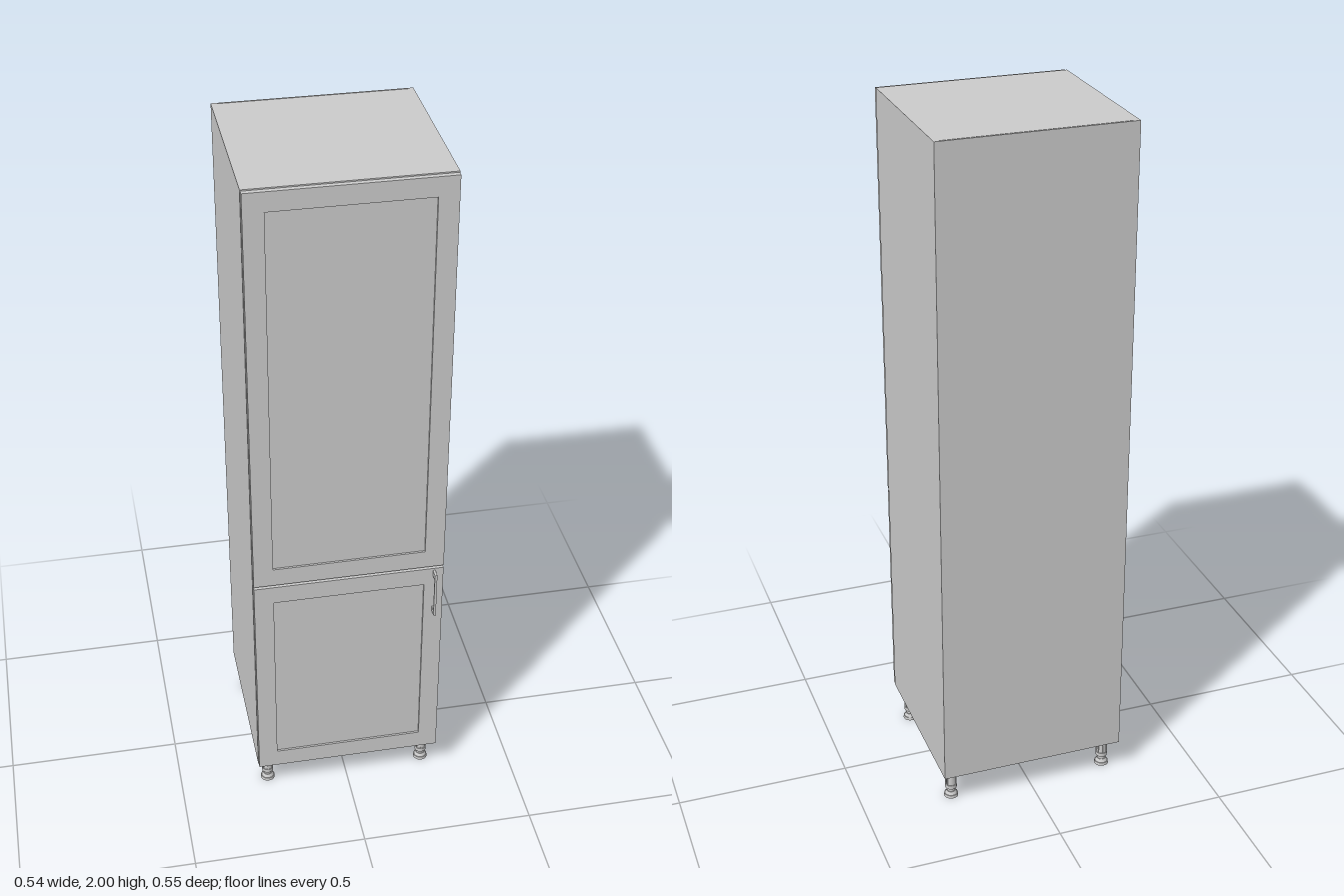
import * as THREE from 'three';

const material = new THREE.MeshStandardMaterial({ color: 0xcccccc });

const W = 0.272;      // half width of the carcass
const T = 0.0145;     // board thickness
const BOTTOM = 0.1, TOP = 2;
const BACK = -0.277, FRONT = 0.235, DOOR_FACE = 0.25;

function add(parent, name, geometry) {
  const mesh = new THREE.Mesh(geometry, material);
  mesh.name = name;
  parent.add(mesh);
  return mesh;
}

// Box given by its limits on each axis
function board(parent, name, x0, x1, y0, y1, z0, z1) {
  const mesh = add(parent, name, new THREE.BoxGeometry(x1 - x0, y1 - y0, z1 - z0));
  mesh.position.set((x0 + x1) / 2, (y0 + y1) / 2, (z0 + z1) / 2);
  return mesh;
}

// Framed door with a recessed centre panel
function makeDoor(name, y0, y1) {
  const door = new THREE.Group();
  door.name = name;
  const w = 0.2705, rail = 0.055;
  const rectangle = (target, inset) => {
    target.moveTo(-w + inset, y0 + inset);
    target.lineTo(w - inset, y0 + inset);
    target.lineTo(w - inset, y1 - inset);
    target.lineTo(-w + inset, y1 - inset);
    target.closePath();
    return target;
  };
  const frame = rectangle(new THREE.Shape(), 0);
  frame.holes.push(rectangle(new THREE.Path(), rail));
  const geometry = new THREE.ExtrudeGeometry(frame, { depth: DOOR_FACE - FRONT - 0.001, bevelEnabled: false });
  add(door, 'doorFrame', geometry).position.z = FRONT + 0.001;
  board(door, 'doorPanel', -w + rail, w - rail, y0 + rail, y1 - rail, FRONT + 0.002, DOOR_FACE - 0.006);
  return door;
}

// Bow handle: two posts and a slim bar
function makeHandle() {
  const handle = new THREE.Group();
  handle.name = 'handle';
  const x0 = 0.240, x1 = 0.247, y0 = 0.63, y1 = 0.775, z1 = 0.275;
  board(handle, 'handleBar', x0, x1, y0, y1, z1 - 0.005, z1);
  board(handle, 'upperPost', x0, x1, y1 - 0.018, y1, DOOR_FACE, z1 - 0.005);
  board(handle, 'lowerPost', x0, x1, y0, y0 + 0.015, DOOR_FACE, z1 - 0.005);
  return handle;
}

// Adjustable foot: socket under the carcass, threaded neck, collar and base
function makeLeg(x, z) {
  const leg = new THREE.Group();
  leg.name = 'leg';
  const rings = [
    ['base', 0.020, 0.021, 0, 0.009],
    ['baseCone', 0.013, 0.018, 0.009, 0.018],
    ['stem', 0.011, 0.011, 0.018, 0.030],
    ['collar', 0.017, 0.017, 0.030, 0.042],
    ['body', 0.014, 0.015, 0.042, 0.074],
    ['socket', 0.019, 0.017, 0.074, 0.094],
    ['mountingPlate', 0.022, 0.022, 0.094, BOTTOM],
  ];
  for (const [name, rTop, rBottom, y0, y1] of rings) {
    add(leg, name, new THREE.CylinderGeometry(rTop, rBottom, y1 - y0, 24)).position.y = (y0 + y1) / 2;
  }
  // Grip ribs around the body
  for (let i = 0; i < 6; i++) {
    const a = (i * Math.PI) / 3;
    const rib = add(leg, 'rib', new THREE.BoxGeometry(0.003, 0.03, 0.004));
    rib.position.set(Math.sin(a) * 0.015, 0.058, Math.cos(a) * 0.015);
    rib.rotation.y = a;
  }
  leg.position.set(x, 0, z);
  return leg;
}

export function createModel() {
  const model = new THREE.Group();
  model.name = 'tallCabinet';

  // Carcass: sides, thin back, and horizontal boards that stop short of the back
  const carcass = new THREE.Group();
  carcass.name = 'carcass';
  model.add(carcass);
  const backFace = BACK + 0.0025, boardBack = -0.2715;
  board(carcass, 'leftSide', W - T, W, BOTTOM, TOP, backFace, FRONT);
  board(carcass, 'rightSide', -W, -W + T, BOTTOM, TOP, backFace, FRONT);
  board(carcass, 'backPanel', -W, W, BOTTOM, TOP, BACK, backFace);
  const levels = [['bottomBoard', BOTTOM], ['middleShelf', 0.778], ['topBoard', TOP - T]];
  for (const [name, y] of levels) {
    board(carcass, name, -W + T, W - T, y, y + T, boardBack, FRONT);
  }

  // Doors and handle
  model.add(makeDoor('lowerDoor', 0.101, 0.782));
  model.add(makeDoor('upperDoor', 0.79, 1.997));
  model.add(makeHandle());

  // Four feet
  for (const x of [-0.238, 0.238]) {
    for (const z of [0.19, -0.225]) model.add(makeLeg(x, z));
  }
  return model;
}
